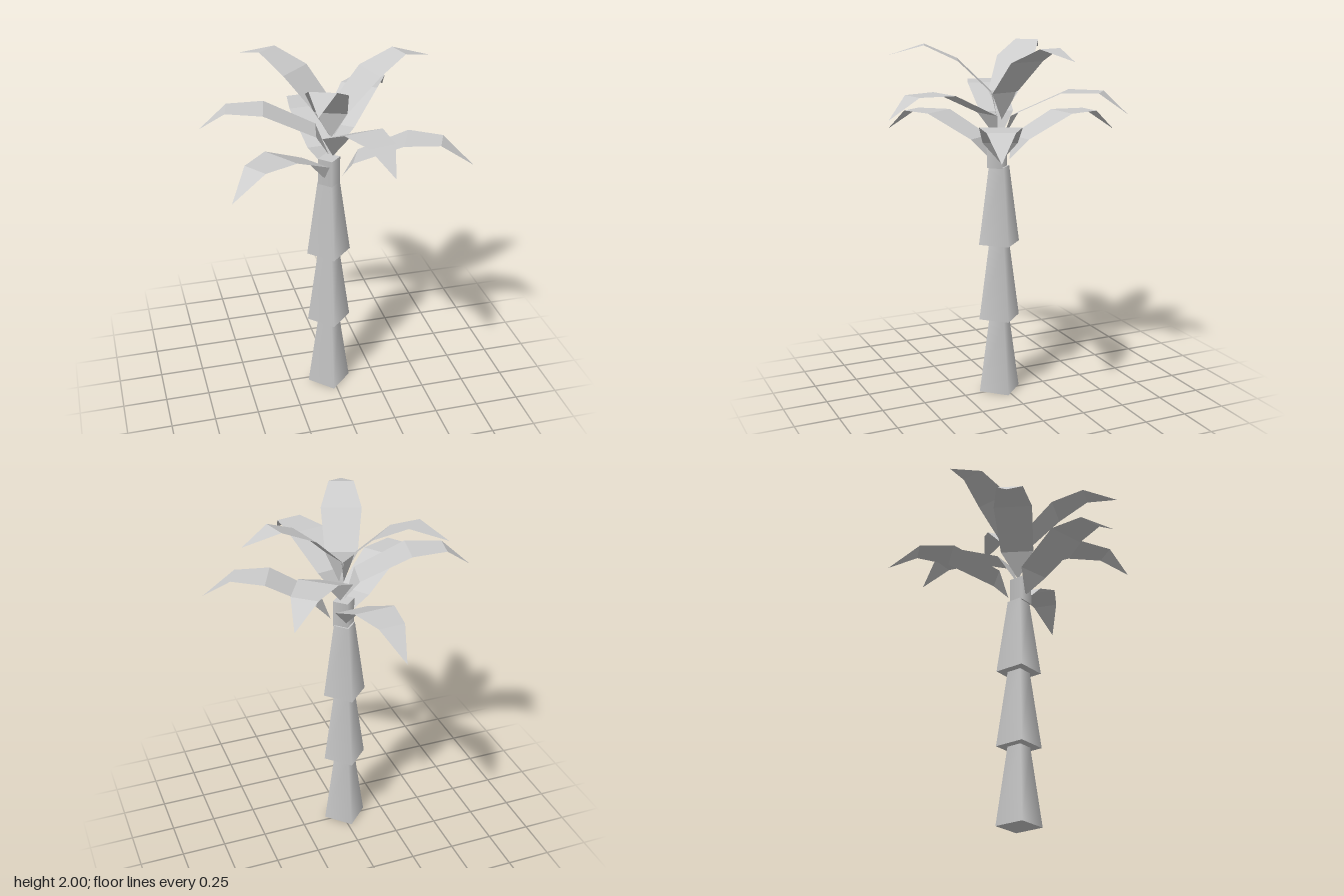
import * as THREE from 'three';

const material = new THREE.MeshStandardMaterial({ color: 0xcccccc });
const leafMaterial = new THREE.MeshStandardMaterial({
  color: 0xcccccc, flatShading: true, side: THREE.DoubleSide,
});

// Frond strip running along +x; rows are [radius, half width, height].
function frondGeometry(rows) {
  const positions = [];
  const index = [];
  rows.forEach(([r, w, y], i) => {
    positions.push(r, y, -w, r, y, w);
    if (i === 0) return;
    const a = 2 * (i - 1), b = 2 * i;
    if (w > 0) index.push(a + 1, b + 1, b);
    if (rows[i - 1][1] > 0) index.push(a + 1, b, a);
  });
  const geometry = new THREE.BufferGeometry();
  geometry.setAttribute('position', new THREE.Float32BufferAttribute(positions, 3));
  geometry.setIndex(index);
  geometry.computeVertexNormals();
  return geometry;
}

// Three tiers of fronds, each frond placed by its heading in degrees.
const tiers = [
  {
    name: 'lowerFrond', headings: [94.3, -24, 215.1],
    rows: [[0.06, 0, 1.36], [0.13, 0.095, 1.48], [0.4, 0.113, 1.607], [0.59, 0.073, 1.607], [0.76, 0, 1.48]],
  },
  {
    name: 'middleFrond', headings: [50.5, 167.9, -78.5],
    rows: [[0.015, 0, 1.48], [0.085, 0.095, 1.625], [0.362, 0.109, 1.755], [0.56, 0.073, 1.757], [0.705, 0, 1.643]],
  },
  {
    name: 'upperFrond', headings: [14.2, 133, -110.7],
    rows: [[0.015, 0, 1.59], [0.045, 0.088, 1.74], [0.23, 0.111, 1.918], [0.41, 0.07, 2.0], [0.6, 0, 1.945]],
  },
];

export function createModel() {
  const model = new THREE.Group();
  model.name = 'palmTree';

  // Trunk: three stacked, tapered four-sided sections
  const trunk = new THREE.Group();
  trunk.name = 'trunk';
  const step = 0.442;
  const sectionGeometry = new THREE.CylinderGeometry(0.0625, 0.125, step, 4);
  for (let i = 0; i < 3; i++) {
    const section = new THREE.Mesh(sectionGeometry, material);
    section.name = 'trunkSection';
    section.position.set(-0.02, step * (i + 0.5), 0.025);
    trunk.add(section);
  }

  // Short straight stub under the crown
  const stub = new THREE.Mesh(new THREE.CylinderGeometry(0.0625, 0.0625, 0.15, 4), material);
  stub.name = 'trunkTop';
  stub.position.set(-0.02, 1.395, 0.037);
  trunk.add(stub);
  model.add(trunk);

  // Crown of fronds
  const crown = new THREE.Group();
  crown.name = 'crown';
  crown.position.set(-0.003, 0, 0.027);
  for (const { name, headings, rows } of tiers) {
    const geometry = frondGeometry(rows);
    for (const heading of headings) {
      const frond = new THREE.Mesh(geometry, leafMaterial);
      frond.name = name;
      frond.rotation.y = THREE.MathUtils.degToRad(heading);
      crown.add(frond);
    }
  }
  model.add(crown);
  return model;
}
